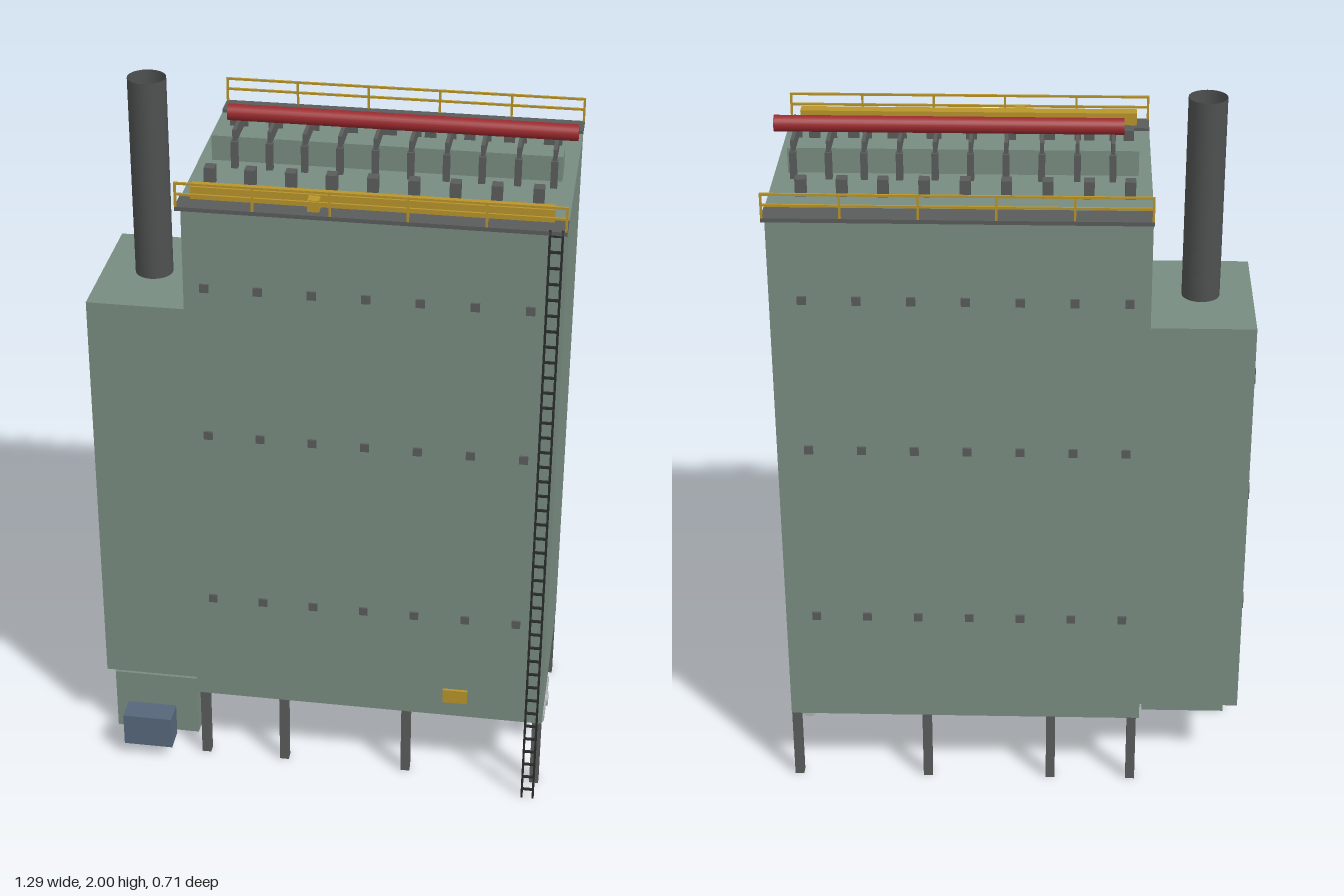
import * as THREE from 'three';

const mat = (name, color, side = THREE.FrontSide) => {
  const m = new THREE.MeshStandardMaterial({ color, side });
  m.name = name;
  return m;
};

export function createModel() {
  const root = new THREE.Group();
  root.name = 'industrialFurnace';

  const green = mat('casingGreen', 0x788c80);
  const steel = mat('darkSteel', 0x5a5c5c);
  const stackGrey = mat('stackGrey', 0x4e5150, THREE.DoubleSide);
  const red = mat('headerRed', 0x9c2a2e);
  const yellow = mat('safetyYellow', 0xb8942a);
  const blue = mat('motorBlue', 0x56677a);
  const pale = mat('palePipe', 0xb0b0b0);
  const black = mat('ladderBlack', 0x2a2c2c);

  // Box given by its minimum and maximum on each axis
  const box = (name, m, x0, x1, y0, y1, z0, z1) => {
    const mesh = new THREE.Mesh(new THREE.BoxGeometry(x1 - x0, y1 - y0, z1 - z0), m);
    mesh.position.set((x0 + x1) / 2, (y0 + y1) / 2, (z0 + z1) / 2);
    mesh.name = name;
    root.add(mesh);
    return mesh;
  };
  // Cylinder between two points
  const pipe = (name, m, r, a, b, sides = 20, open = false) => {
    const p = new THREE.Vector3(...a), q = new THREE.Vector3(...b);
    const mesh = new THREE.Mesh(new THREE.CylinderGeometry(r, r, p.distanceTo(q), sides, 1, open), m);
    mesh.position.copy(p).add(q).multiplyScalar(0.5);
    mesh.quaternion.setFromUnitVectors(new THREE.Vector3(0, 1, 0), q.sub(p).normalize());
    mesh.name = name;
    root.add(mesh);
    return mesh;
  };

  // Main casing and side convection box with its open stack
  box('mainCasing', green, -0.36, 0.64, 0.215, 1.79, -0.285, 0.285);
  box('sideCasing', green, -0.645, -0.36, 0.215, 1.43, -0.215, 0.215);
  pipe('stack', stackGrey, 0.052, [-0.503, 1.43, 0], [-0.503, 2, 0], 24, true);

  // Louvre strips on the side casing
  for (const y of [1.27, 0.91, 0.55]) box('louvre', steel, -0.65, -0.644, y - 0.022, y + 0.022, -0.18, 0.18);

  // Fan housing and motor
  box('fanHousing', green, -0.625, -0.38, 0, 0.195, 0.058, 0.197);
  box('motor', blue, -0.572, -0.43, 0.043, 0.143, 0.266, 0.337);

  // Name plate panel
  box('panel', yellow, 0.355, 0.425, 0.265, 0.308, 0.284, 0.293);

  for (const s of [1, -1]) {
    // Legs
    for (const x of [-0.338, -0.106, 0.25, 0.626])
      box('leg', steel, x - 0.013, x + 0.013, 0, 0.216, s * 0.272 - 0.013, s * 0.272 + 0.013);

    // Peep doors in three rows
    for (const y of [1.535, 1.087, 0.552])
      for (let i = 0; i < 7; i++) {
        const x = -0.304 + i * 0.143;
        box('peepDoor', steel, x - 0.012, x + 0.012, y - 0.012, y + 0.012, s * 0.287 - 0.004, s * 0.287 + 0.004);
      }

    // Walkway and railing
    box('walkway', steel, -0.36, 0.64, 1.787, 1.798, s * 0.321 - 0.036, s * 0.321 + 0.036);
    for (const y of [1.833, 1.863])
      box('handrail', yellow, -0.36, 0.64, y - 0.003, y + 0.003, s * 0.354 - 0.003, s * 0.354 + 0.003);
    for (let i = 0; i < 6; i++) {
      const x = -0.357 + i * 0.1988;
      box('railPost', yellow, x - 0.003, x + 0.003, 1.798, 1.863, s * 0.354 - 0.003, s * 0.354 + 0.003);
    }

    // Roof blocks
    for (let i = 0; i < 9; i++) {
      const x = -0.301 + i * 0.107;
      box('roofBlock', steel, x - 0.014, x + 0.014, 1.789, 1.838, s * 0.18 - 0.016, s * 0.18 + 0.016);
    }

    // Lower header and the tube ends at roof and floor
    pipe('lowerHeader', pale, 0.024, [-0.285, 0.092, s * 0.07], [0.615, 0.092, s * 0.07]);
    for (let i = 0; i < 10; i++) {
      const x = -0.256 + i * 0.0935;
      box('roofTube', steel, x - 0.009, x + 0.009, 1.789, 1.865, s * 0.073 - 0.009, s * 0.073 + 0.009);
      pipe('floorTube', steel, 0.008, [x, 0.1, s * 0.07], [x, 0.216, s * 0.07], 10);
    }
  }

  // Manifold joining the lower headers
  pipe('manifold', pale, 0.024, [0.615, 0.092, -0.098], [0.615, 0.092, 0.098]);
  pipe('manifoldOutlet', pale, 0.021, [0.6, 0.092, 0], [0.643, 0.092, 0]);

  // Roof penthouse, cross bars and upper header
  box('penthouse', green, -0.325, 0.605, 1.789, 1.86, -0.036, 0.036);
  for (let i = 0; i < 10; i++) {
    const x = -0.256 + i * 0.0935;
    box('crossBar', steel, x - 0.005, x + 0.005, 1.86, 1.896, -0.075, 0.075);
  }
  pipe('upperHeader', red, 0.022, [-0.285, 1.915, 0], [0.64, 1.915, 0], 24);

  // Gas main with its branch
  box('gasMain', yellow, -0.325, 0.605, 1.806, 1.84, 0.286, 0.32);
  box('gasBranch', yellow, -0.017, 0.013, 1.806, 1.838, 0.32, 0.352);

  // Ladder
  for (const x of [0.597, 0.629]) box('ladderRail', black, x - 0.003, x + 0.003, 0, 1.8, 0.351, 0.357);
  for (let i = 0; i < 40; i++) {
    const y = 0.03 + i * 0.045;
    box('ladderRung', black, 0.597, 0.629, y - 0.003, y + 0.003, 0.351, 0.357);
  }

  return root;
}
